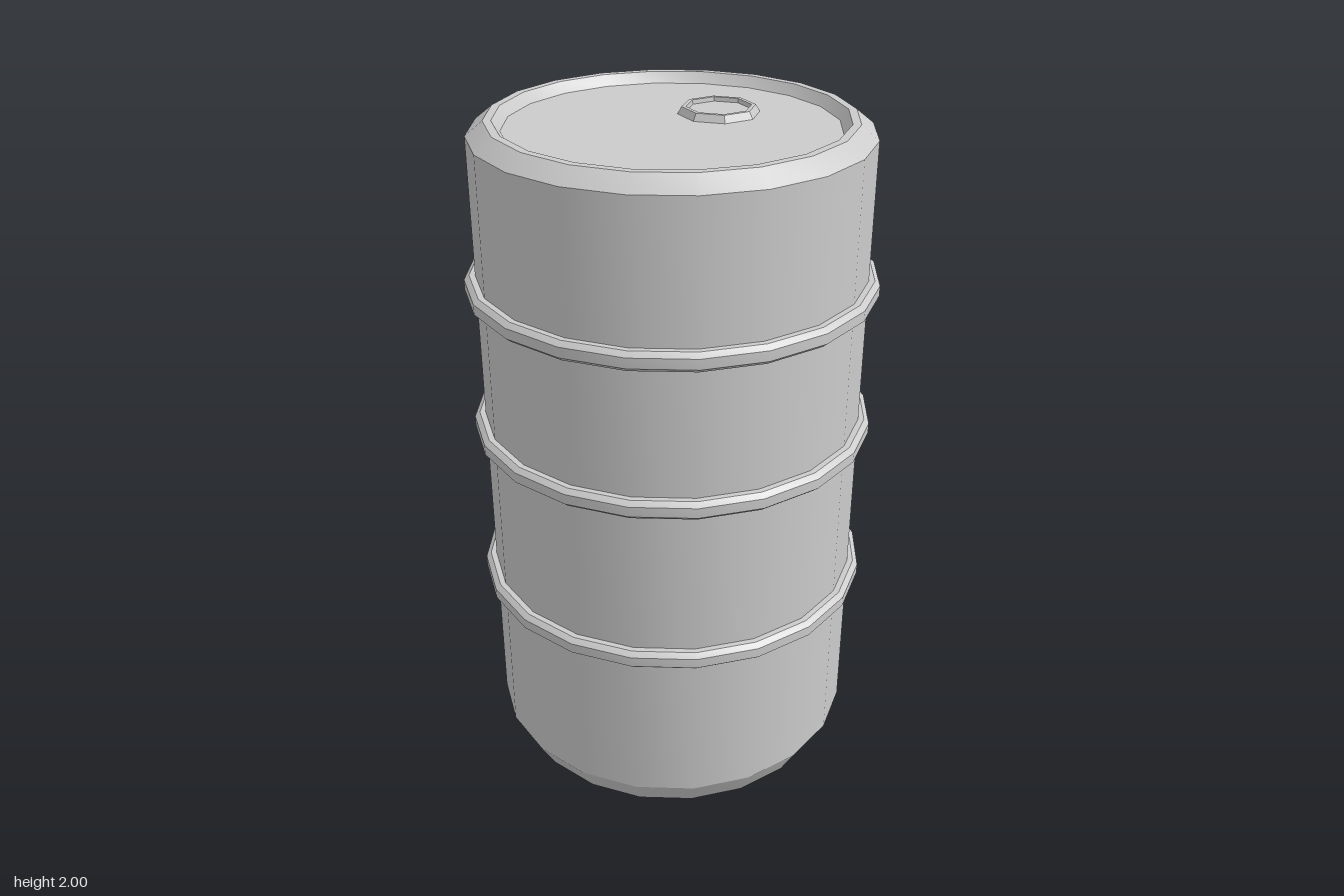
import * as THREE from 'three';
import { toCreasedNormals } from 'three/addons/utils/BufferGeometryUtils.js';

const SIDES = 20;

export function createModel() {
  const model = new THREE.Group();
  model.name = 'barrel';
  const material = new THREE.MeshStandardMaterial({ color: 0xcccccc });

  // Turned part from [radius, height] pairs, listed from bottom to top along the outside
  function turned(name, profile, sides, x, y, z) {
    const points = profile.map(([r, h]) => new THREE.Vector2(r, h));
    const geometry = toCreasedNormals(new THREE.LatheGeometry(points, sides), 0.45);
    const mesh = new THREE.Mesh(geometry, material);
    mesh.name = name;
    mesh.position.set(x, y, z);
    model.add(mesh);
  }

  // Drum with chamfered ends, raised rim and sunken lid
  turned('drum', [
    [0, 0], [0.51, 0], [0.56, 0.09], [0.56, 1.96],
    [0.51, 2], [0.487, 2], [0.465, 1.97], [0, 1.97],
  ], SIDES, 0, 0, 0);

  // Reinforcing hoops
  const hoop = [
    [0.55, -0.028], [0.577, -0.028], [0.592, -0.015],
    [0.592, 0.015], [0.577, 0.028], [0.55, 0.028],
  ];
  const hoops = { lowerHoop: 0.595, middleHoop: 1.098, upperHoop: 1.535 };
  for (const [name, y] of Object.entries(hoops)) turned(name, hoop, SIDES, 0, y, 0);

  // Octagonal filler cap with a shallow recess
  turned('fillerCap', [
    [0.117, 0], [0.105, 0.02], [0.093, 0.02], [0.091, 0.008], [0, 0.008],
  ], 8, 0.145, 1.97, -0.117);

  return model;
}
